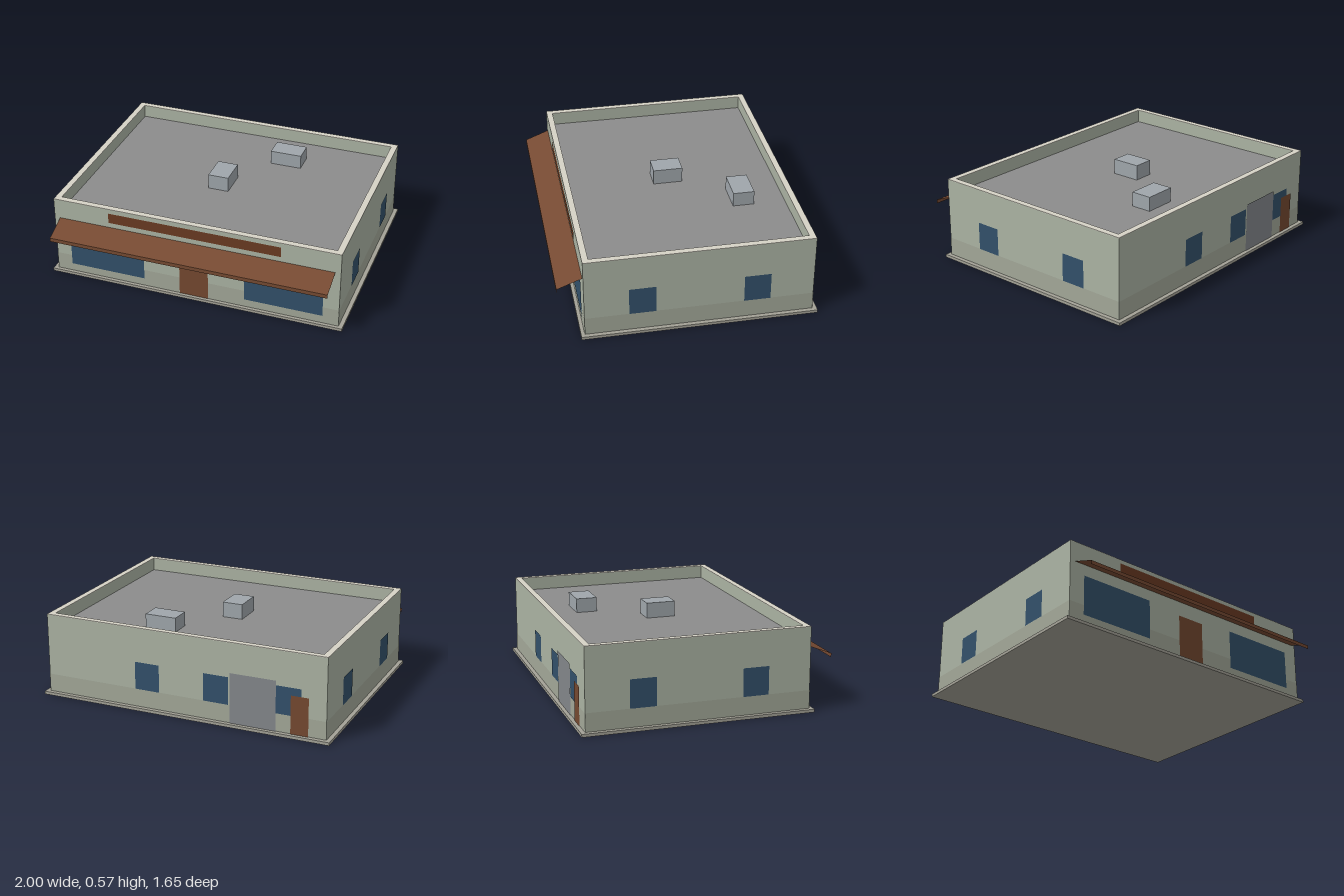
import * as THREE from 'three';

const mat = (color) => new THREE.MeshStandardMaterial({ color, side: THREE.DoubleSide });

export function createModel() {
  const model = new THREE.Group();
  const wallMat = mat(0xabb3a3), bandMat = mat(0xa2a798), glassMat = mat(0x32506a);
  const brownMat = mat(0x744830), signMat = mat(0x6a3a22), awningMat = mat(0x764a32);
  const capMat = mat(0xd6d2c6), roofMat = mat(0x8c8c8c), unitMat = mat(0x9fa6ab);
  const plinthMat = mat(0xa3a196), shutterMat = mat(0x83868a);

  // Wall outline
  const X = 0.97, Z0 = -0.8, Z1 = 0.66, BASE = 0.02, TOP = 0.555, DECK = 0.465, T = 0.04;

  const add = (name, geometry, material) => {
    const mesh = new THREE.Mesh(geometry, material);
    mesh.name = name;
    model.add(mesh);
    return mesh;
  };
  const box = (name, x0, x1, y0, y1, z0, z1, material) =>
    add(name, new THREE.BoxGeometry(x1 - x0, y1 - y0, z1 - z0), material)
      .position.set((x0 + x1) / 2, (y0 + y1) / 2, (z0 + z1) / 2);

  // Flat panel laid on a wall; a and b are its ends along x or z
  const panel = (name, side, a, b, y0, y1, material, lift = 0.004) => {
    const mesh = add(name, new THREE.PlaneGeometry(b - a, y1 - y0), material);
    const mid = (a + b) / 2, y = (y0 + y1) / 2;
    if (side === 'front') mesh.position.set(mid, y, Z1 + lift);
    if (side === 'back') mesh.position.set(mid, y, Z0 - lift);
    if (side === 'left') mesh.position.set(X + lift, y, mid);
    if (side === 'right') mesh.position.set(-X - lift, y, mid);
    mesh.rotation.y = { front: 0, back: Math.PI, left: Math.PI / 2, right: -Math.PI / 2 }[side];
  };

  // Rectangular ring standing from y0 to y1
  const ring = (name, y0, y1, material) => {
    const rect = (C, d) => new C([
      new THREE.Vector2(-X + d, -Z1 + d), new THREE.Vector2(X - d, -Z1 + d),
      new THREE.Vector2(X - d, -Z0 - d), new THREE.Vector2(-X + d, -Z0 - d),
    ]);
    const shape = rect(THREE.Shape, 0);
    shape.holes.push(rect(THREE.Path, T));
    const g = new THREE.ExtrudeGeometry(shape, { depth: y1 - y0, bevelEnabled: false });
    g.rotateX(-Math.PI / 2).translate(0, y0, 0);
    add(name, g, material);
  };

  // Shell
  box('plinth', -1, 1, 0, BASE, -0.83, 0.685, plinthMat);
  ring('walls', BASE, TOP - 0.004, wallMat);
  ring('parapetCap', TOP - 0.004, TOP, capMat);
  box('roofDeck', -X + T, X - T, DECK - 0.02, DECK, Z0 + T, Z1 - T, roofMat);

  // Rooftop units
  box('rooftopUnit', -0.125, 0.015, DECK, 0.567, -0.145, 0.05, unitMat);
  box('rooftopUnit', 0.165, 0.38, DECK, 0.56, -0.55, -0.41, unitMat);

  // Darker band around the foot of the walls
  for (const side of ['front', 'back']) panel('baseBand', side, -X, X, BASE, 0.14, bandMat, 0.002);
  for (const side of ['left', 'right']) panel('baseBand', side, Z0, Z1, BASE, 0.14, bandMat, 0.002);

  // Front: shop windows, door, sign board
  panel('shopWindow', 'front', -0.865, -0.345, 0.075, 0.34, glassMat);
  panel('shopWindow', 'front', 0.345, 0.865, 0.075, 0.34, glassMat);
  panel('frontDoor', 'front', -0.098, 0.098, BASE, 0.315, brownMat);
  panel('signBoard', 'front', -0.583, 0.583, 0.455, 0.525, signMat);

  // Small windows on both sides and the back
  for (const side of ['left', 'right'])
    for (const z of [-0.435, 0.295]) panel('sideWindow', side, z - 0.085, z + 0.085, 0.14, 0.325, glassMat);
  for (const x of [0.245, -0.235, -0.72]) panel('backWindow', 'back', x - 0.085, x + 0.085, 0.14, 0.325, glassMat);
  panel('loadingShutter', 'back', -0.64, -0.33, BASE, 0.355, shutterMat, 0.006);
  panel('backDoor', 'back', -0.855, -0.738, BASE, 0.275, brownMat, 0.006);

  // Awning: open sloped sheet with a hanging front edge
  const W = 0.933, run = 0.16, drop = 0.062;
  const sheet = add('awning', new THREE.PlaneGeometry(2 * W, Math.hypot(run, drop)), awningMat);
  sheet.position.set(0, 0.418 - drop / 2, Z1 + run / 2);
  sheet.rotation.x = -Math.atan2(run, drop);
  add('awningValance', new THREE.PlaneGeometry(2 * W, 0.026), awningMat)
    .position.set(0, 0.343, Z1 + run);

  return model;
}
